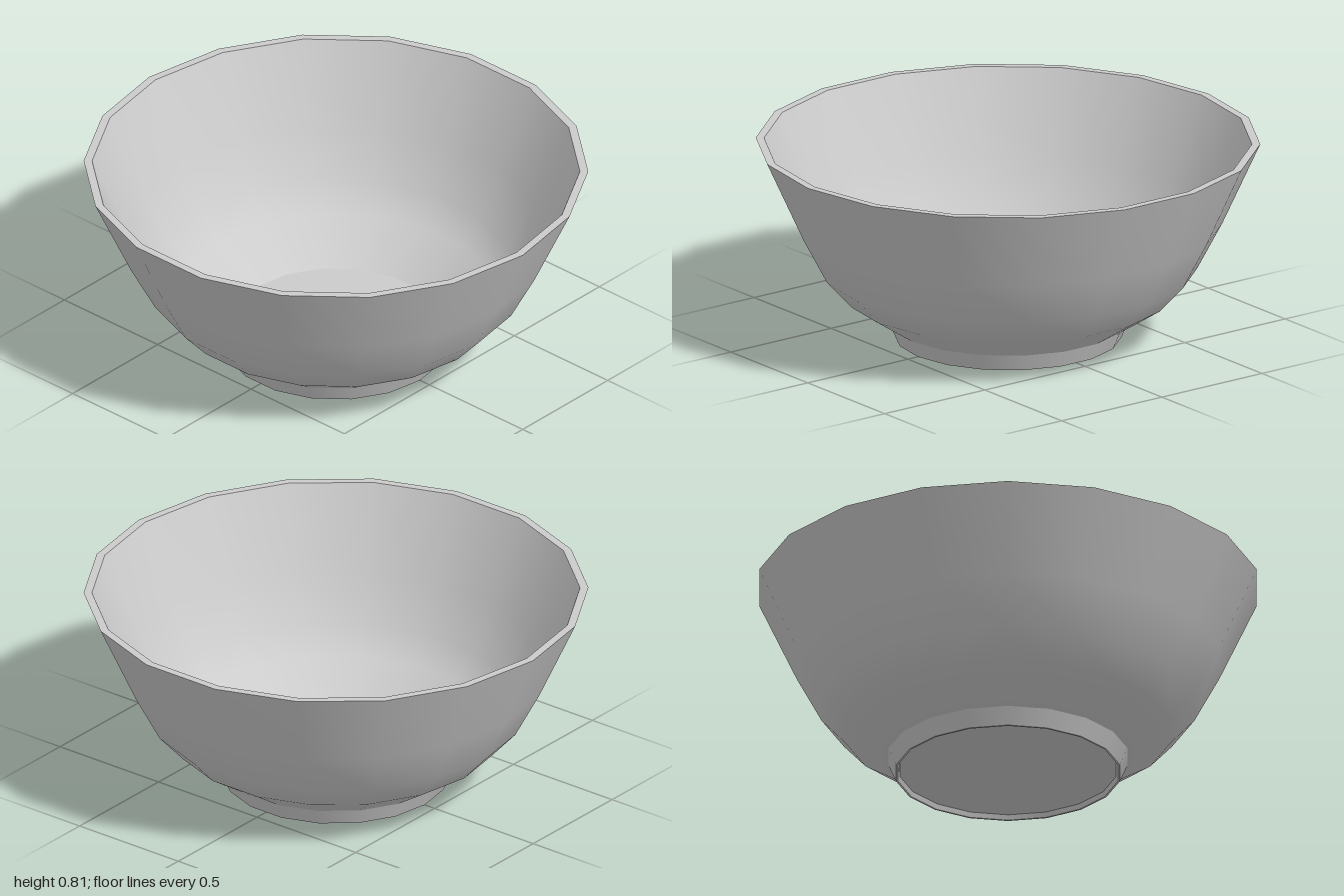
import * as THREE from 'three';

const SIDES = 18;

export function createModel() {
  const bowl = new THREE.Group();
  bowl.name = 'bowl';
  const material = new THREE.MeshStandardMaterial({ color: 0xcccccc });

  // Each part is its own lathe: smooth inside a part, sharp between parts.
  // Profiles run [radius, height] from the underside, up the outside and down the inside.
  const addRing = (name, profile) => {
    const points = profile.map(([r, y]) => new THREE.Vector2(r, y));
    const mesh = new THREE.Mesh(new THREE.LatheGeometry(points, SIDES), material);
    mesh.name = name;
    bowl.add(mesh);
  };

  // Foot with a shallow recess underneath
  addRing('underside', [[0, 0.02], [0.435, 0.02]]);
  addRing('footInnerWall', [[0.435, 0.02], [0.442, 0]]);
  addRing('footEdge', [[0.442, 0], [0.45, 0]]);
  addRing('footOuterWall', [[0.45, 0], [0.48, 0.07]]);

  // Body
  addRing('outerWall', [[0.48, 0.07], [0.65, 0.18], [0.75, 0.29], [0.85, 0.48], [1, 0.81]]);
  addRing('rim', [[1, 0.81], [0.967, 0.81]]);
  addRing('innerWall', [[0.967, 0.81], [0.82, 0.49], [0.72, 0.305], [0.625, 0.205], [0.415, 0.08]]);
  addRing('innerFloor', [[0.415, 0.08], [0, 0.08]]);

  return bowl;
}
